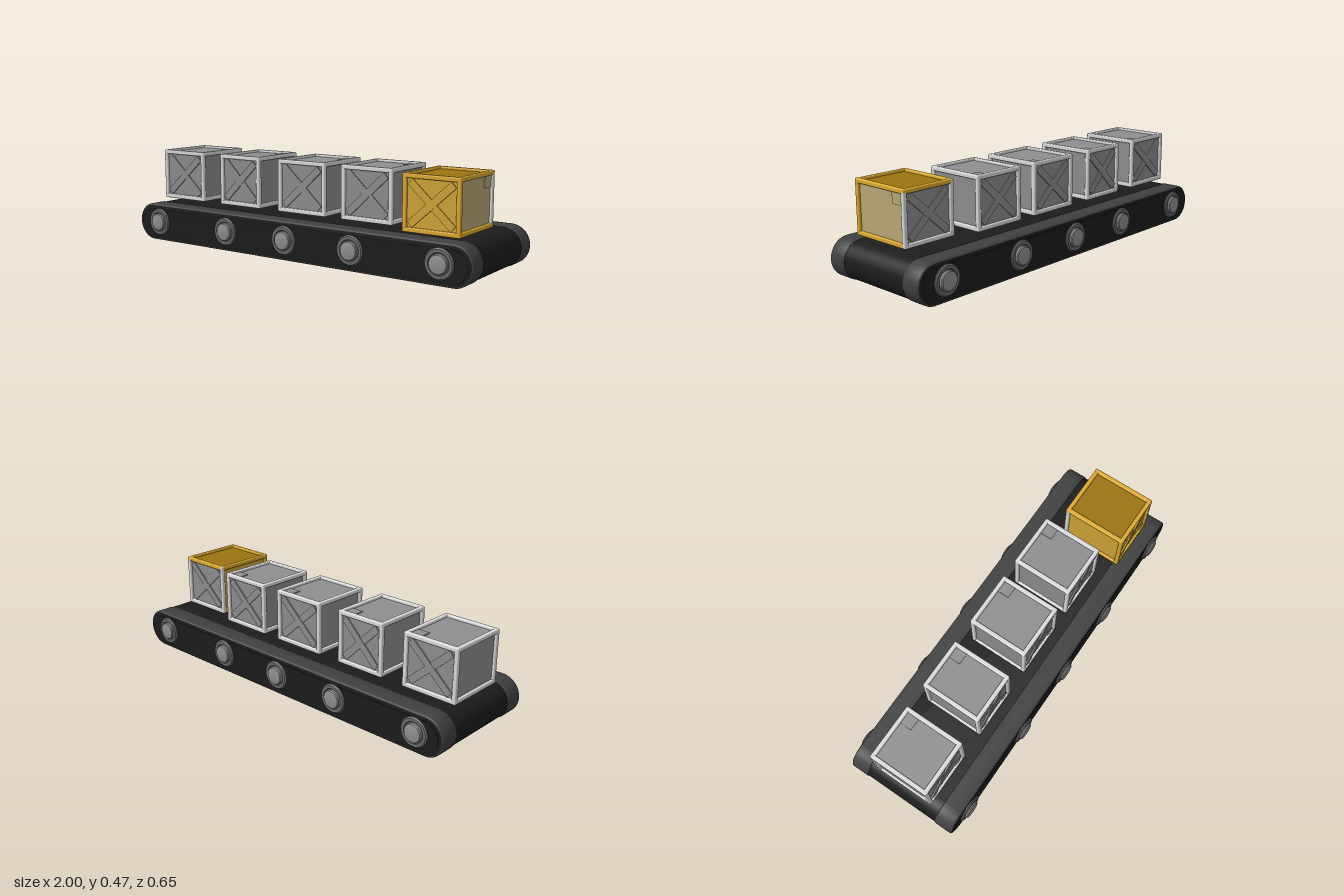
import * as THREE from 'three';
import { toCreasedNormals } from 'three/addons/utils/BufferGeometryUtils.js';
import { RoundedBoxGeometry } from 'three/addons/geometries/RoundedBoxGeometry.js';

const material = (name, color) => {
  const m = new THREE.MeshStandardMaterial({ color });
  m.name = name;
  return m;
};

const MAT = {
  belt: material('belt black', 0x1c1c1c),
  rim: material('rim charcoal', 0x404040),
  flange: material('flange grey', 0x6a6a6a),
  cap: material('cap grey', 0x909090),
  panel: material('panel grey', 0x8e8e91),
  frame: material('frame light grey', 0xdadada),
  goldFrame: material('frame gold', 0xdcaa30),
  gold: material('panel gold', 0xd0a438),
  ochre: material('panel ochre', 0x9c7410),
  sand: material('panel sand', 0xbaa978),
};

const H = 0.194; // conveyor height

function addMesh(parent, name, geometry, mat, x = 0, y = 0, z = 0) {
  const mesh = new THREE.Mesh(geometry, mat);
  mesh.name = name;
  mesh.position.set(x, y, z);
  parent.add(mesh);
  return mesh;
}

// Rounded-end slab lying along x, centred on its own depth
function stadium(halfLength, height, depth, bevel = 0) {
  const r = height / 2 - bevel;
  const c = halfLength - height / 2;
  const s = new THREE.Shape();
  s.moveTo(-c, -r);
  s.lineTo(c, -r);
  s.absarc(c, 0, r, -Math.PI / 2, Math.PI / 2, false);
  s.lineTo(-c, r);
  s.absarc(-c, 0, r, Math.PI / 2, Math.PI * 1.5, false);
  const g = new THREE.ExtrudeGeometry(s, {
    depth: depth - 2 * bevel, curveSegments: 20,
    bevelEnabled: bevel > 0, bevelSize: bevel, bevelThickness: bevel, bevelSegments: 3,
  });
  g.translate(0, 0, -depth / 2 + bevel);
  return toCreasedNormals(g, 0.6);
}

function lathe(points) {
  const g = new THREE.LatheGeometry(points.map(([r, h]) => new THREE.Vector2(r, h)), 32);
  g.rotateX(Math.PI / 2); // axis along +z
  return toCreasedNormals(g, 0.6);
}

function createConveyor() {
  const conveyor = new THREE.Group();
  conveyor.name = 'conveyor';
  addMesh(conveyor, 'belt', stadium(0.996, H - 0.006, 0.42), MAT.belt, 0, H / 2, 0);

  const rim = stadium(1, H, 0.1, 0.008);
  const plate = stadium(0.975, H - 0.05, 0.006);
  const flange = lathe([[0.072, -0.005], [0.072, 0.006], [0.066, 0.012], [0.052, 0.012], [0.048, 0.006], [0, 0.006]]);
  const cap = lathe([[0.046, 0], [0.046, 0.017], [0.042, 0.022], [0.03, 0.025], [0, 0.026]]);

  for (const side of [1, -1]) {
    addMesh(conveyor, 'sideRim', rim, [MAT.belt, MAT.rim], 0, H / 2, side * 0.25);
    addMesh(conveyor, 'sidePlate', plate, MAT.belt, 0, H / 2, side * 0.299);
    for (const x of [-0.85, -0.38, -0.005, 0.38, 0.84]) {
      const roller = new THREE.Group();
      roller.name = 'rollerHub';
      roller.position.set(x, 0.1, side * 0.3);
      if (side < 0) roller.rotation.y = Math.PI;
      addMesh(roller, 'hubFlange', flange, MAT.flange);
      addMesh(roller, 'hubCap', cap, MAT.cap);
      conveyor.add(roller);
    }
  }
  return conveyor;
}

function createCrate(w, h, d, golden) {
  const crate = new THREE.Group();
  crate.name = golden ? 'goldCrate' : 'greyCrate';
  const bar = 0.022, inset = 0.012;

  // Recessed panels: right, left, top, bottom, front, back
  const sides = golden
    ? [MAT.sand, MAT.gold, MAT.ochre, MAT.gold, MAT.gold, MAT.panel]
    : MAT.panel;
  addMesh(crate, 'panels', new THREE.BoxGeometry(w - 2 * inset, h - 2 * inset, d - 2 * inset), sides);

  // Twelve rounded edge bars
  const a = [-1, 1];
  const main = golden ? MAT.goldFrame : MAT.frame;
  const barX = new RoundedBoxGeometry(w, bar, bar, 2, 0.006);
  const barY = new RoundedBoxGeometry(bar, h, bar, 2, 0.006);
  const barZ = new RoundedBoxGeometry(bar, bar, d, 2, 0.006);
  const ex = (w - bar) / 2, ey = (h - bar) / 2, ez = (d - bar) / 2;
  for (const i of a) for (const j of a) {
    addMesh(crate, 'frameBarX', barX, j < 0 && i < 0 ? MAT.frame : main, 0, i * ey, j * ez);
    addMesh(crate, 'frameBarY', barY, j < 0 ? MAT.frame : main, i * ex, 0, j * ez);
    addMesh(crate, 'frameBarZ', barZ, main, i * ex, j * ey, 0);
  }

  // Crossed braces on the front and back
  const iw = w - 2 * bar, ih = h - 2 * bar;
  const brace = new THREE.BoxGeometry(Math.hypot(iw, ih) * 0.88, 0.036, 0.012);
  for (const side of a) for (const tilt of a) {
    const mat = golden && side > 0 ? MAT.gold : MAT.panel;
    const m = addMesh(crate, 'brace', brace, mat, 0, 0, side * (d / 2 - inset + tilt * 0.0008));
    m.rotation.z = tilt * Math.atan2(ih, iw);
  }

  // Small corner tag
  if (golden) {
    addMesh(crate, 'cornerTag', new THREE.BoxGeometry(0.008, 0.055, 0.065), MAT.sand,
      w / 2 - inset, h / 2 - bar - 0.027, -d / 2 + bar + 0.032);
  } else {
    addMesh(crate, 'cornerTag', new THREE.BoxGeometry(0.06, 0.008, 0.06), MAT.panel,
      w / 2 - bar - 0.03, h / 2 - inset, -d / 2 + bar + 0.03);
  }
  return crate;
}

export function createModel() {
  const model = new THREE.Group();
  model.name = 'conveyorWithCrates';
  model.add(createConveyor());

  // [left edge, right edge, back, front, golden]
  const crates = [
    [-0.952, -0.662, -0.16, 0.157, false],
    [-0.543, -0.277, -0.16, 0.157, false],
    [-0.157, 0.133, -0.16, 0.157, false],
    [0.227, 0.512, -0.16, 0.157, false],
    [0.607, 0.897, -0.105, 0.23, true],
  ];
  for (const [x0, x1, z0, z1, golden] of crates) {
    const y0 = golden ? 0.203 : 0.207, y1 = golden ? 0.468 : 0.472;
    const crate = createCrate(x1 - x0, y1 - y0, z1 - z0, golden);
    crate.position.set((x0 + x1) / 2, (y0 + y1) / 2, (z0 + z1) / 2);
    model.add(crate);
  }
  return model;
}
